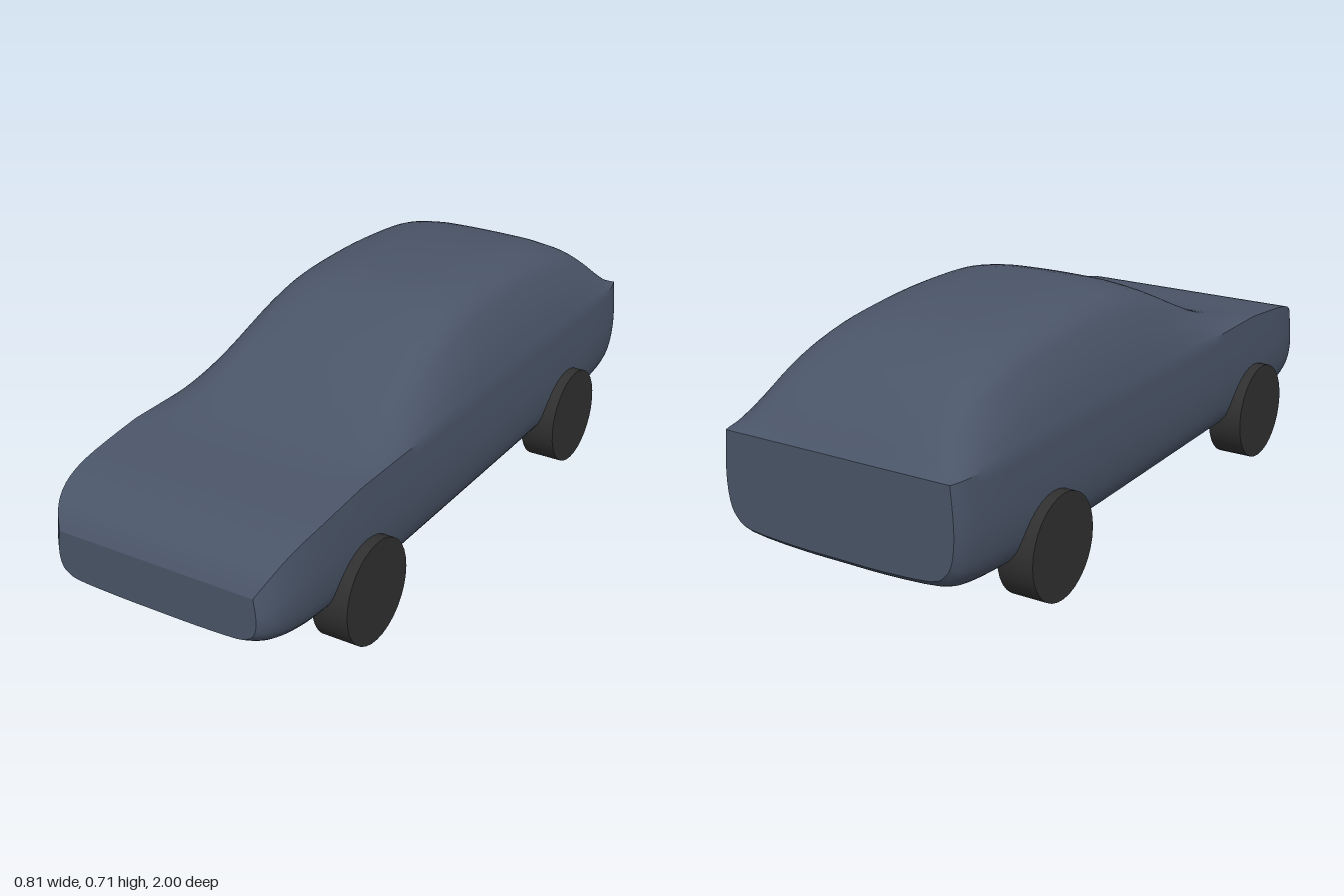
import * as THREE from 'three';
import { toCreasedNormals } from 'three/addons/utils/BufferGeometryUtils.js';

// Stations from nose to tail: z, top height, bottom height, half width at the belt line
const STATIONS = [
  [1, 0.315, 0.178, 0.302], [0.97, 0.36, 0.162, 0.328], [0.93, 0.392, 0.147, 0.344],
  [0.87, 0.415, 0.134, 0.355], [0.78, 0.431, 0.124, 0.362], [0.6, 0.452, 0.115, 0.365],
  [0.5, 0.475, 0.112, 0.365], [0.4, 0.51, 0.112, 0.365], [0.3, 0.556, 0.112, 0.365],
  [0.2, 0.606, 0.112, 0.365], [0.1, 0.652, 0.112, 0.365], [0, 0.686, 0.112, 0.365],
  [-0.1, 0.705, 0.112, 0.365], [-0.25, 0.71, 0.112, 0.365], [-0.4, 0.706, 0.112, 0.365],
  [-0.58, 0.688, 0.112, 0.365], [-0.7, 0.661, 0.117, 0.365], [-0.8, 0.62, 0.124, 0.365],
  [-0.88, 0.567, 0.132, 0.363], [-0.94, 0.514, 0.143, 0.359], [-0.975, 0.476, 0.157, 0.353],
  [-1, 0.45, 0.178, 0.345],
];
const BELT = 0.45;

const spline = (pts, n) =>
  new THREE.SplineCurve(pts.map(([x, y]) => new THREE.Vector2(x, y))).getPoints(n);

// Normalised half sections: x as a share of the half width, y as a share of the height
const CABIN = spline([[0, 1], [0.2, 0.996], [0.41, 0.98], [0.63, 0.92], [0.74, 0.83],
  [0.82, 0.69], [0.93, 0.35], [1, 0]], 21);
const LOWER = spline([[1, 1], [1.02, 0.7], [1.023, 0.47], [1, 0.26], [0.945, 0.13],
  [0.82, 0.04], [0.4, 0.003], [0, 0]], 21);

// Smooth interpolation of all station values at parameter u
function stationAt(u) {
  const last = STATIONS.length - 1;
  const i = Math.min(Math.floor(u), last - 1), f = u - i;
  const at = (k) => STATIONS[Math.max(0, Math.min(last, k))];
  return STATIONS[i].map((p1, c) => {
    const p0 = at(i - 1)[c], p2 = at(i + 1)[c], p3 = at(i + 2)[c];
    const m1 = (p2 - p0) / 2, m2 = (p3 - p1) / 2;
    return p1 + f * m1 + f * f * (3 * (p2 - p1) - 2 * m1 - m2)
      + f * f * f * (2 * (p1 - p2) + m1 + m2);
  });
}

// Closed cross-section, running from the roof centre down the left side and back up
function section([z, top, bottom, w]) {
  const belt = Math.min(BELT, top);
  const half = [
    ...CABIN.map((p) => [p.x * w, belt + p.y * (top - belt)]),
    ...LOWER.slice(1).map((p) => [p.x * w, bottom + p.y * (belt - bottom)]),
  ];
  const mirrored = half.slice(1, -1).reverse().map(([x, y]) => [-x, y]);
  return [...half, ...mirrored].map(([x, y]) => [x, y, z]);
}

function indexed(points, index) {
  const g = new THREE.BufferGeometry();
  g.setAttribute('position', new THREE.Float32BufferAttribute(points.flat(), 3));
  g.setIndex(index);
  return g;
}

function loft(rings) {
  const n = rings[0].length, index = [];
  for (let i = 0; i < rings.length - 1; i++) {
    for (let j = 0; j < n; j++) {
      const k = (j + 1) % n;
      const a = i * n + j, b = i * n + k, c = b + n, d = a + n;
      index.push(a, b, c, a, c, d);
    }
  }
  return toCreasedNormals(indexed(rings.flat(), index), 0.6);
}

// Flat end panel fanned out from its centre
function endPanel(ring, facesFront) {
  const n = ring.length, index = [];
  const ys = ring.map((p) => p[1]);
  const centre = [0, (Math.min(...ys) + Math.max(...ys)) / 2, ring[0][2]];
  for (let j = 0; j < n; j++) {
    const k = (j + 1) % n;
    index.push(n, facesFront ? k : j, facesFront ? j : k);
  }
  const g = indexed([...ring, centre], index).toNonIndexed();
  g.computeVertexNormals();
  return g;
}

export function createModel() {
  const model = new THREE.Group();
  model.name = 'car';
  const paint = new THREE.MeshStandardMaterial({ name: 'slate blue paint', color: 0x4a5568 });
  const rubber = new THREE.MeshStandardMaterial({ name: 'dark rubber', color: 0x303030 });

  const add = (name, geometry, material) => {
    const mesh = new THREE.Mesh(geometry, material);
    mesh.name = name;
    model.add(mesh);
    return mesh;
  };

  // Body shell with flat nose and tail
  const rings = [];
  const steps = (STATIONS.length - 1) * 3;
  for (let s = 0; s <= steps; s++) rings.push(section(stationAt(s / 3)));
  add('bodyShell', loft(rings), paint);
  add('nosePanel', endPanel(rings[0], true), paint);
  add('tailPanel', endPanel(rings[steps], false), paint);

  // Wheels
  const wheel = new THREE.CylinderGeometry(0.148, 0.148, 0.106, 32).rotateZ(Math.PI / 2);
  for (const [end, z] of [['front', 0.597], ['rear', -0.593]]) {
    for (const [side, x] of [['Left', 0.352], ['Right', -0.352]]) {
      add(`${end}${side}Wheel`, wheel, rubber).position.set(x, 0.148, z);
    }
  }
  return model;
}
